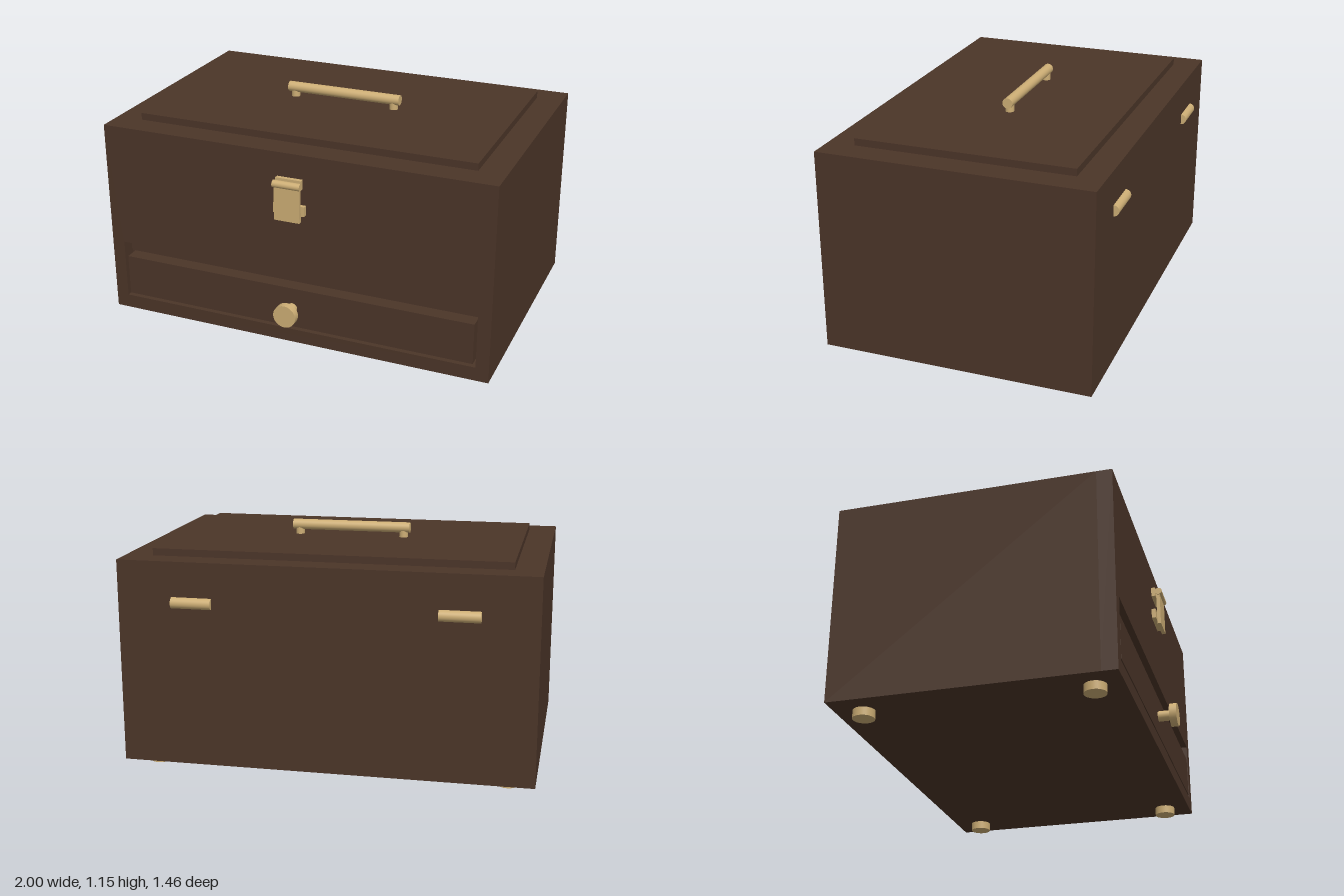
import * as THREE from 'three';

export function createModel() {
  const model = new THREE.Group();
  model.name = 'toolChest';
  const wood = new THREE.MeshStandardMaterial({ color: 0x4b3528 });
  const brass = new THREE.MeshStandardMaterial({ color: 0xcdae75 });

  const add = (name, geometry, material, parent = model) => {
    const mesh = new THREE.Mesh(geometry, material);
    mesh.name = name;
    parent.add(mesh);
    return mesh;
  };
  // box given by its limits on each axis
  const box = (name, [x0, x1], [y0, y1], [z0, z1], material, parent) => {
    const mesh = add(name, new THREE.BoxGeometry(x1 - x0, y1 - y0, z1 - z0), material, parent);
    mesh.position.set((x0 + x1) / 2, (y0 + y1) / 2, (z0 + z1) / 2);
    return mesh;
  };
  // cylinder along the chosen axis
  const rod = (name, axis, radius, length, [x, y, z], parent) => {
    const geometry = new THREE.CylinderGeometry(radius, radius, length, 32);
    if (axis === 'x') geometry.rotateZ(Math.PI / 2);
    if (axis === 'z') geometry.rotateX(Math.PI / 2);
    const mesh = add(name, geometry, brass, parent);
    mesh.position.set(x, y, z);
    return mesh;
  };
  const group = (name) => {
    const g = new THREE.Group();
    g.name = name;
    model.add(g);
    return g;
  };
  const rect = (path, x, y0, y1) => {
    path.moveTo(-x, y0);
    path.lineTo(x, y0);
    path.lineTo(x, y1);
    path.lineTo(-x, y1);
    path.closePath();
    return path;
  };

  // Case: solid back part and a front frame with the drawer opening
  const front = 0.635, back = -0.7, recess = 0.56;
  const body = group('case');
  box('caseBody', [-1, 1], [0.04, 1.04], [back, recess], wood, body);
  const frame = rect(new THREE.Shape(), 1, 0.04, 1.04);
  frame.holes.push(rect(new THREE.Path(), 0.935, 0.11, 0.415));
  const frameGeometry = new THREE.ExtrudeGeometry(frame, { depth: front - recess, bevelEnabled: false });
  add('frontFrame', frameGeometry, wood, body).position.z = recess;
  box('drawerRail', [-0.935, 0.935], [0.345, 0.415], [recess - 0.01, recess + 0.008], wood, body);
  box('lidPanel', [-0.865, 0.865], [1.03, 1.075], [-0.57, 0.5], wood, body);

  // Drawer with knob
  const drawer = group('drawer');
  box('drawerFront', [-0.92, 0.92], [0.125, 0.335], [recess - 0.01, front - 0.002], wood, drawer);
  rod('knobStem', 'z', 0.026, 0.08, [0, 0.228, 0.66], drawer);
  rod('knob', 'z', 0.058, 0.036, [0, 0.228, 0.712], drawer);

  // Carrying handle
  const handle = group('handle');
  rod('handleBar', 'x', 0.026, 0.6, [0, 1.123, -0.033], handle);
  for (const side of [-1, 1]) rod('handlePost', 'y', 0.022, 0.06, [side * 0.267, 1.093, -0.033], handle);

  // Front latch
  const latch = group('latch');
  box('upperMount', [-0.065, 0.065], [0.872, 0.92], [front - 0.01, 0.656], brass, latch);
  box('lowerMount', [-0.08, 0.08], [0.74, 0.79], [front - 0.01, 0.656], brass, latch);
  box('latchPlate', [-0.065, 0.065], [0.712, 0.895], [0.66, 0.678], brass, latch);
  rod('latchPin', 'x', 0.018, 0.14, [0, 0.895, 0.672], latch);

  // Rear hinges and feet
  for (const side of [-1, 1]) {
    rod('hinge', 'x', 0.027, 0.195, [side * 0.635, 0.843, back]);
    for (const z of [-0.565, 0.505]) rod('foot', 'y', 0.052, 0.045, [side * 0.865, 0.0225, z]);
  }
  return model;
}
